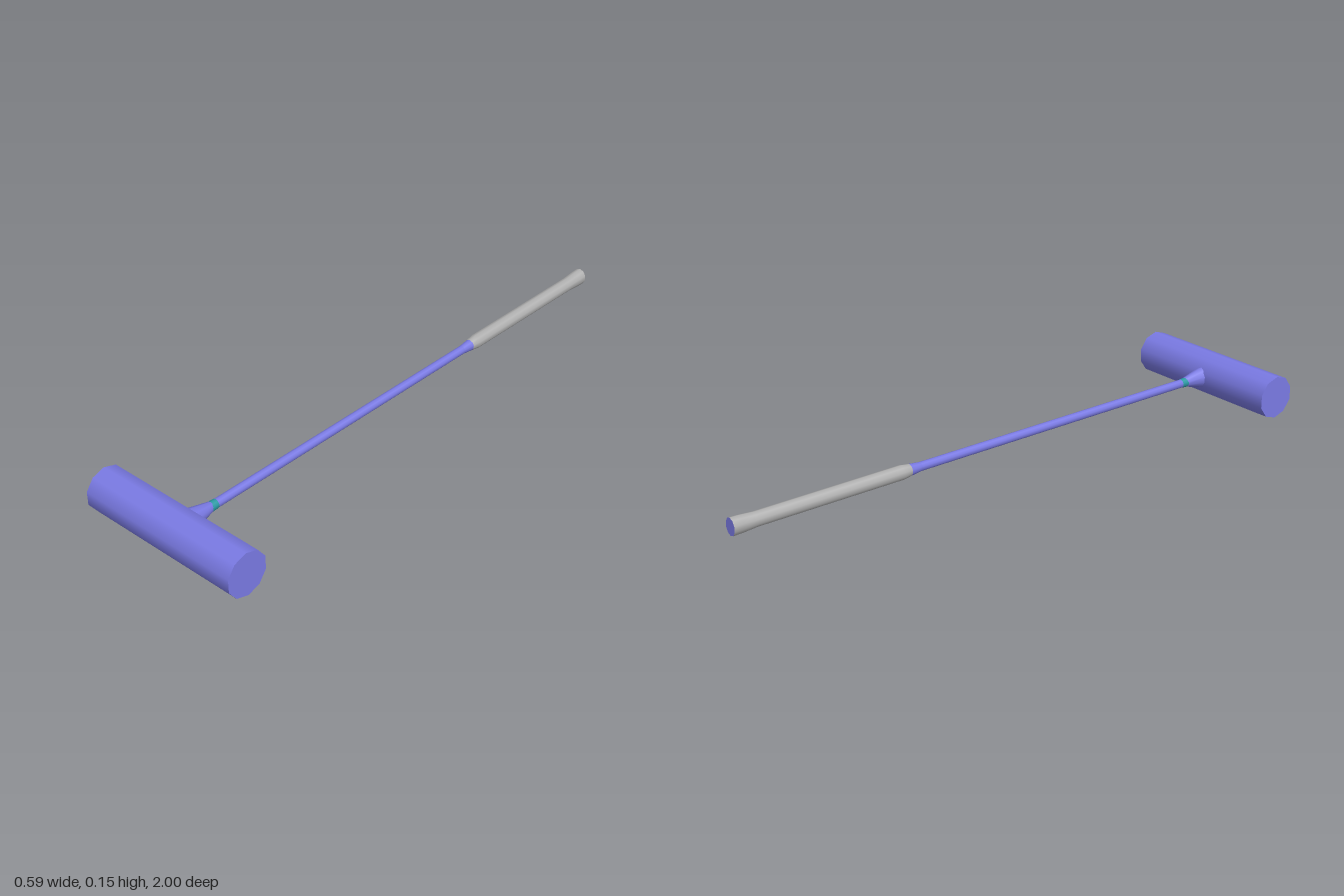
import * as THREE from 'three';

const SIDES = 10;
const AXIS_Y = 0.0735;
const HEAD_R = 0.0735;
const HEAD_Z = 0.93;

const material = (name, color, side = THREE.FrontSide) =>
  Object.assign(new THREE.MeshStandardMaterial({ color, side }), { name });

// Faceted tube along z from [z, radiusX, radiusY] rings, listed front to back
function tube(name, rings, mat) {
  const geo = new THREE.LatheGeometry(rings.map(([z, , ry]) => new THREE.Vector2(ry, -z)), SIDES);
  geo.rotateX(-Math.PI / 2);
  const pos = geo.attributes.position;
  for (let i = 0; i < pos.count; i++) {
    const [, rx, ry] = rings[i % rings.length];
    pos.setX(i, pos.getX(i) * rx / ry);
  }
  const mesh = new THREE.Mesh(geo, mat);
  mesh.name = name;
  mesh.position.y = AXIS_Y;
  return mesh;
}

export function createModel() {
  const violet = material('violet', 0x7a7ae4, THREE.DoubleSide);
  const grey = material('gripGrey', 0xb0b0b0, THREE.DoubleSide);
  const teal = material('teal', 0x2a9aa4, THREE.DoubleSide);
  const mallet = new THREE.Group();
  mallet.name = 'mallet';

  // Head lies across x with an edge at the top
  const headGeo = new THREE.CylinderGeometry(HEAD_R, HEAD_R, 0.588, SIDES, 1, false, Math.PI / 2);
  headGeo.rotateZ(Math.PI / 2);
  const head = new THREE.Mesh(headGeo, violet);
  head.name = 'head';
  head.position.set(0, AXIS_Y, HEAD_Z);
  mallet.add(head);

  // Flared neck, coloured ring, thin shaft and its widening into the grip
  mallet.add(tube('neck', [[0.872, 0.03, 0.036], [0.86, 0.029, 0.034], [0.79, 0.0155, 0.0165]], violet));
  mallet.add(tube('collar', [[0.795, 0.0165, 0.0165], [0.77, 0.0152, 0.0152]], teal));
  mallet.add(tube('shaft', [[0.78, 0.0145, 0.0145], [-0.34, 0.0145, 0.0145]], violet));
  mallet.add(tube('shaftFlare', [[-0.34, 0.0145, 0.0145], [-0.38, 0.019, 0.019]], violet));

  // Grip with a slightly taller butt
  mallet.add(tube('grip', [
    [-0.38, 0.019, 0.019], [-0.41, 0.0235, 0.0235], [-0.92, 0.0235, 0.0235],
    [-0.97, 0.025, 0.028], [-1, 0.025, 0.029],
  ], grey));

  // Flat butt cap facing backwards
  const capGeo = new THREE.CircleGeometry(1, SIDES, Math.PI / 2);
  capGeo.rotateY(Math.PI);
  const cap = new THREE.Mesh(capGeo, violet);
  cap.name = 'buttCap';
  cap.scale.set(0.025, 0.029, 1);
  cap.position.set(0, AXIS_Y, -1);
  mallet.add(cap);

  // The head's lowest edge rests on the ground
  return mallet;
}
